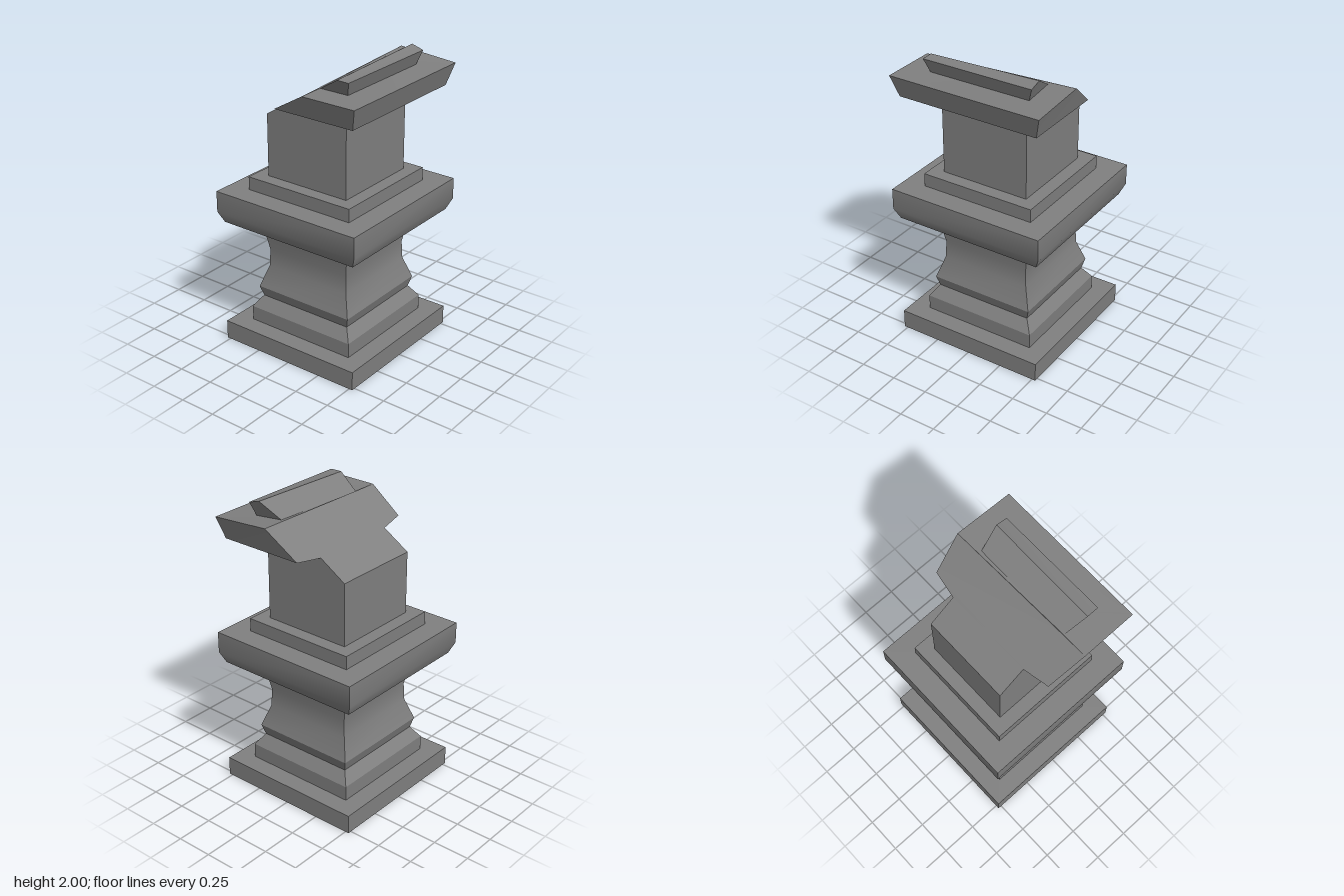
import * as THREE from 'three';
import { toCreasedNormals } from 'three/addons/utils/BufferGeometryUtils.js';

const stone = new THREE.MeshStandardMaterial({ color: 0x808080, side: THREE.DoubleSide });
stone.name = 'grey stone';

// A section is a rectangle: half width, height, and optional changes to its
// front z, back-left corner (z, y) and back-right corner (z, y).
function corners({ h, y, front = h, left = [-h, y], right = left }) {
  return [[-h, left[1], left[0]], [-h, y, front], [h, y, front], [h, right[1], right[0]]];
}

// Skins a stack of sections, listed from bottom to top.
function loft(name, sections, closeTop = false) {
  const rings = sections.map(corners);
  const pos = [];
  const tri = (...points) => points.forEach((p) => pos.push(...p));
  for (let s = 0; s < rings.length - 1; s++) {
    const low = rings[s], up = rings[s + 1];
    for (let i = 0; i < 4; i++) {
      const j = (i + 1) % 4;
      tri(low[i], low[j], up[j]);
      tri(low[i], up[j], up[i]);
    }
  }
  if (closeTop) {
    const [a, b, c, d] = rings[rings.length - 1];
    tri(a, b, c);
    tri(a, c, d);
  }
  const geometry = new THREE.BufferGeometry();
  geometry.setAttribute('position', new THREE.Float32BufferAttribute(pos, 3));
  const mesh = new THREE.Mesh(toCreasedNormals(geometry, THREE.MathUtils.degToRad(30)), stone);
  mesh.name = name;
  return mesh;
}

const square = ([h, y]) => ({ h, y });

export function createModel() {
  const group = new THREE.Group();
  group.name = 'brokenPedestal';

  // Hollow square base, open underneath
  group.add(loft('plinth', [[0.525, 0], [0.525, 0.13], [0.4, 0.13]].map(square)));
  group.add(loft('baseMoulding', [[0.4, 0.13], [0.4, 0.23], [0.345, 0.31], [0.365, 0.38]].map(square)));
  group.add(loft('waist', [[0.365, 0.38], [0.315, 0.53], [0.31, 0.65], [0.345, 0.845]].map(square)));
  group.add(loft('cornice', [[0.345, 0.845], [0.515, 0.87], [0.548, 0.945], [0.548, 1.09], [0.4, 1.09]].map(square)));
  group.add(loft('step', [[0.4, 1.09], [0.4, 1.18], [0.31, 1.18]].map(square)));

  // Shaft, with its back sheared off on a slope
  const shaftTop = { h: 0.31, y: 1.72, left: [-0.125, 1.72] };
  group.add(loft('shaft', [{ h: 0.31, y: 1.18 }, { h: 0.31, y: 1.605 }, shaftTop]));

  // Remains of the flared cap, sheared by the same break
  group.add(loft('brokenCap', [
    shaftTop,
    { h: 0.492, y: 1.74, left: [-0.095, 1.74] },
    { h: 0.533, y: 1.885, left: [0.15, 1.885], right: [0.12, 1.915] },
    { h: 0.355, y: 1.885, left: [0.15, 1.885], right: [0.15, 1.908] },
    { h: 0.388, y: 1.975, front: 0.383, left: [0.3, 1.977], right: [0.3, 2.0] },
  ], true));

  return group;
}
